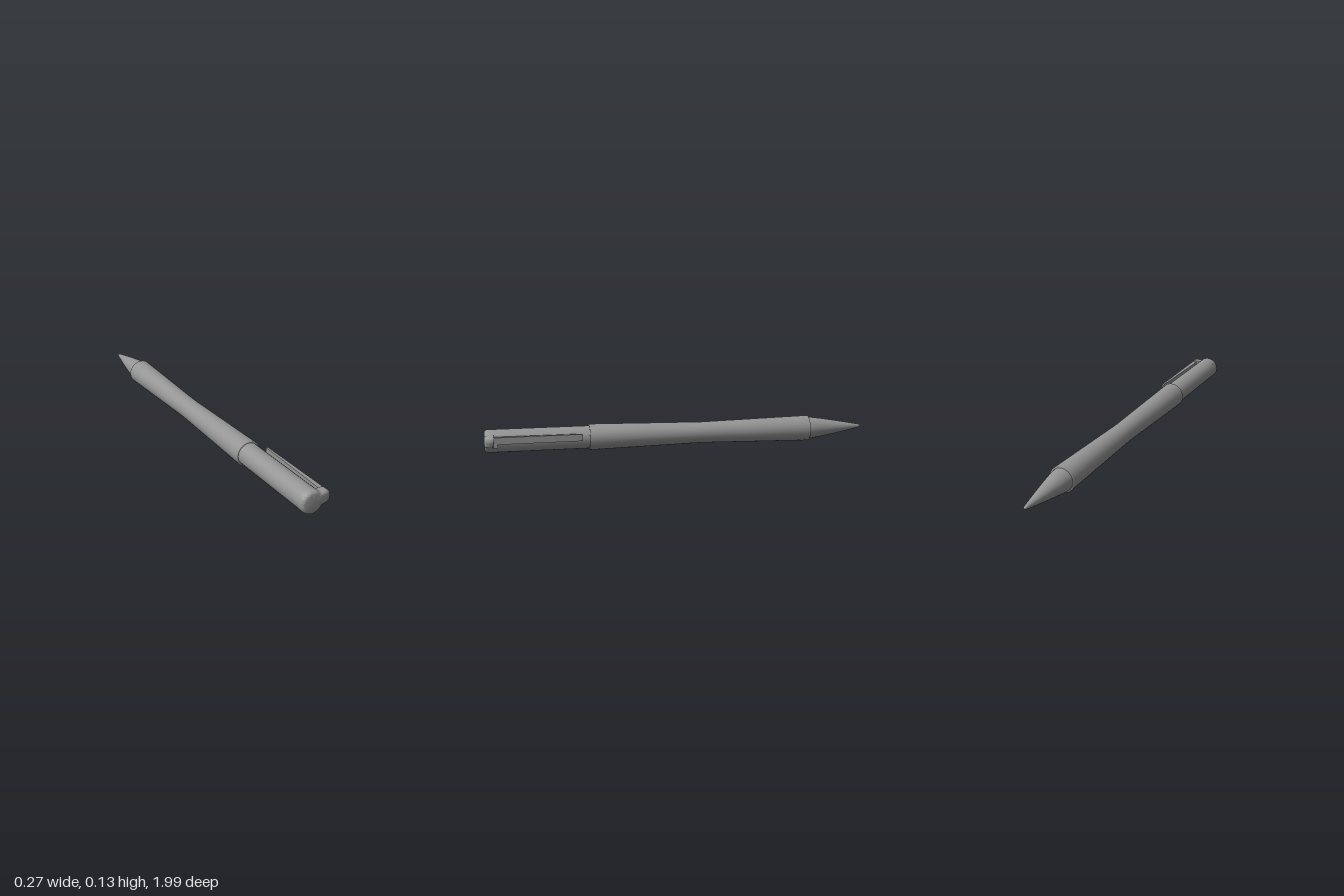
import * as THREE from 'three';
import { toCreasedNormals } from 'three/addons/utils/BufferGeometryUtils.js';

const mat = new THREE.MeshStandardMaterial({ color: 0x959595, side: THREE.DoubleSide });

function add(group, name, geometry) {
  const mesh = new THREE.Mesh(geometry, mat);
  mesh.name = name;
  group.add(mesh);
}

// Turned part along z; pairs are [radius, z], running from the tip to the cap
function turned(pairs, sides = 24) {
  const pts = pairs.map(([r, z]) => new THREE.Vector2(r, z));
  return new THREE.LatheGeometry(pts, sides).rotateX(Math.PI / 2);
}

export function createModel() {
  const pen = new THREE.Group();
  pen.name = 'pen';

  // Writing tip, slightly convex with a blunt point
  add(pen, 'tip', turned([
    [0, -1.004], [0.006, -1.002], [0.01, -0.988], [0.023, -0.92], [0.036, -0.85],
    [0.048, -0.78], [0.057, -0.72], [0.06, -0.68],
  ]));

  // Waisted barrel flaring towards both ends, shaded softly over its end lips
  const barrel = [[0.056, -0.699]];
  for (let i = 0; i <= 4; i++) {
    const u = i / 4;
    const flare = Math.pow(Math.cos(u * Math.PI), 2);
    barrel.push([0.0545 + 0.0125 * flare, -0.699 + 1.167 * u]);
  }
  barrel.push([0.056, 0.468]);
  add(pen, 'barrel', turned(barrel));

  // Cap tube
  add(pen, 'cap', turned([[0.058, 0.45], [0.058, 0.965]]));

  // Rounded cap end, its rim swelling sideways into the clip knob
  const profile = [[0.02, 0.944], [0.058, 0.944], [0.058, 0.974]];
  for (let i = 1; i <= 5; i++) {
    const a = (i / 5) * Math.PI / 2;
    profile.push([0.041 + 0.017 * Math.cos(a), 0.974 + 0.017 * Math.sin(a)]);
  }
  profile.push([0, 0.991]);
  const end = turned(profile, 72);
  const pos = end.attributes.position;
  for (let i = 0; i < pos.count; i++) {
    const x = pos.getX(i), y = pos.getY(i);
    const offset = (Math.atan2(y, x) - 0.16) / 0.43;
    const swell = 1 + 0.7 * Math.exp(-Math.pow(offset, 4));
    pos.setXY(i, x * swell, y * swell);
  }
  add(pen, 'capEnd', toCreasedNormals(end, 0.9));

  const clip = new THREE.Group();
  clip.name = 'clip';
  pen.add(clip);

  // Block joining the arm to the cap
  add(clip, 'clipBlock', new THREE.BoxGeometry(0.042, 0.044, 0.025)
    .translate(0.063, 0.002, 0.938));

  // Tapering arm, thinner at its free end
  const arm = new THREE.Shape();
  arm.moveTo(0.064, 0.955);
  arm.lineTo(0.088, 0.955);
  arm.lineTo(0.084, 0.508);
  arm.lineTo(0.074, 0.508);
  arm.closePath();
  add(clip, 'clipArm', new THREE.ExtrudeGeometry(arm, { depth: 0.035, bevelEnabled: false })
    .rotateX(Math.PI / 2).translate(0, 0.033, 0));

  // Lay the pen at a small angle
  pen.rotation.y = -0.0868;
  pen.position.set(0.0075, 0.067, 0);
  const model = new THREE.Group();
  model.name = 'model';
  model.add(pen);
  return model;
}
